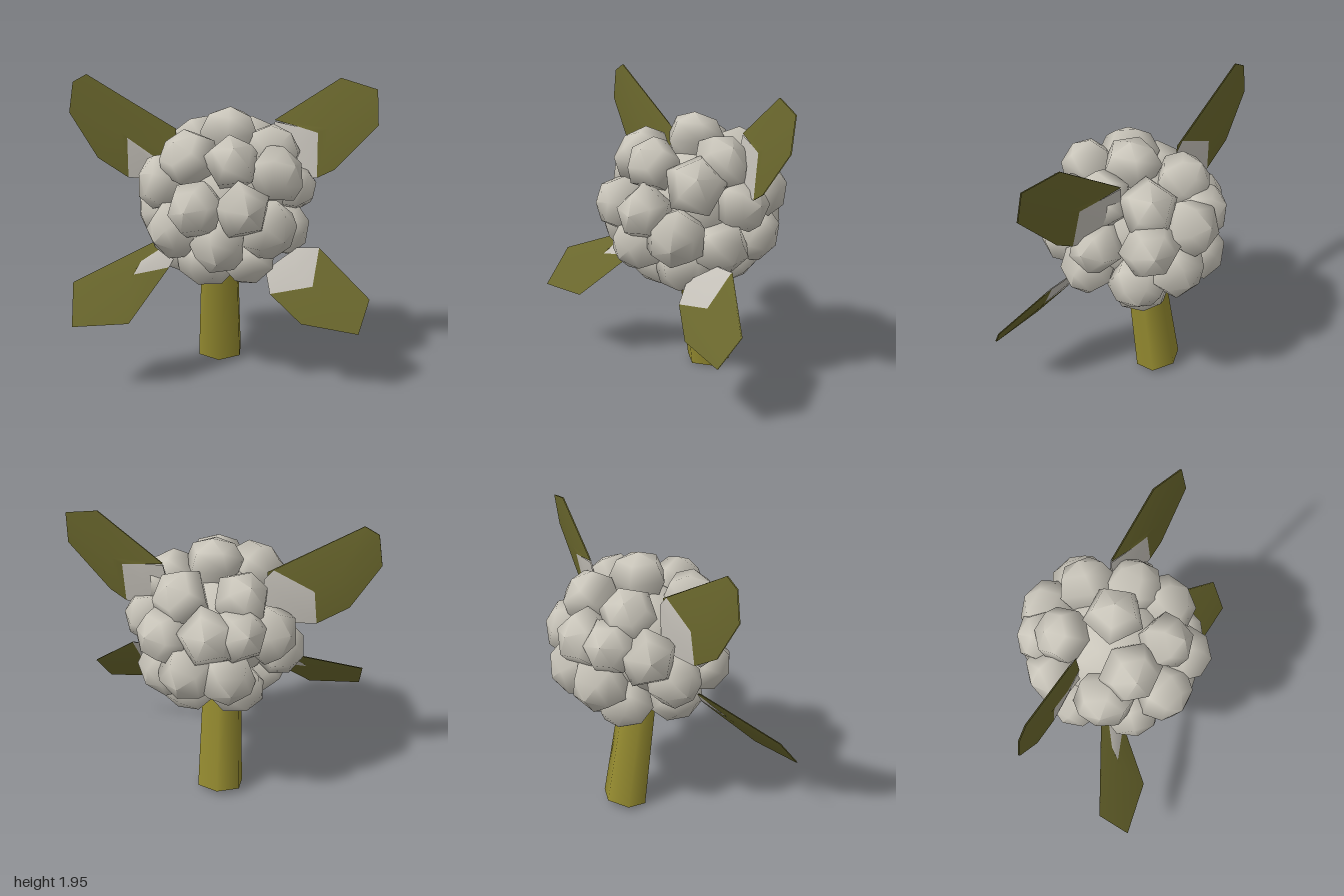
import * as THREE from 'three';

const mat = (name, color, side = THREE.FrontSide) => {
  const m = new THREE.MeshStandardMaterial({ color, side });
  m.name = name;
  return m;
};

// One side of a leaf: a fan over an outline on the plane z = a + bx + cy.
// Outline points are [x, y, half thickness]; side is 1 for the front, -1 for the back.
function leafFace(outline, [a, b, c], side) {
  const plane = (x, y) => a + b * x + c * y;
  const n = outline.length;
  const cx = outline.reduce((s, p) => s + p[0], 0) / n;
  const cy = outline.reduce((s, p) => s + p[1], 0) / n;
  const pos = [cx, cy, plane(cx, cy) + side * 0.024];
  outline.forEach(([x, y, t = 0.004]) => pos.push(x, y, plane(x, y) + side * t));
  const area = outline.reduce((s, p, i) => {
    const q = outline[(i + 1) % n];
    return s + p[0] * q[1] - q[0] * p[1];
  }, 0);
  const index = [];
  for (let i = 0; i < n; i++) {
    const p = i + 1, q = ((i + 1) % n) + 1;
    if (area * side > 0) index.push(0, p, q);
    else index.push(0, q, p);
  }
  const g = new THREE.BufferGeometry();
  g.setAttribute('position', new THREE.Float32BufferAttribute(pos, 3));
  g.setIndex(index);
  g.computeVertexNormals();
  return g;
}

export function createModel() {
  const root = new THREE.Group();
  root.name = 'budCluster';
  const pale = mat('paleGrey', 0xc9c5ba);
  const paleBase = mat('paleLeafBase', 0xc5c1b9, THREE.DoubleSide);
  const green = mat('leafOlive', 0x6a672d, THREE.DoubleSide);
  const gold = mat('stemOlive', 0x958b30);
  const up = new THREE.Vector3(0, 1, 0);
  const add = (parent, name, geo, material) => {
    const m = new THREE.Mesh(geo, material);
    m.name = name;
    parent.add(m);
    return m;
  };

  // Leaning six-sided stem, wider at its foot
  const foot = new THREE.Vector3(-0.02, 0.025, -0.18);
  const top = new THREE.Vector3(-0.01, 1.2, 0.01);
  const axis = top.clone().sub(foot);
  const stem = add(root, 'stem', new THREE.CylinderGeometry(0.105, 0.142, axis.length(), 6), gold);
  stem.position.copy(foot).add(top).multiplyScalar(0.5);
  stem.quaternion.setFromUnitVectors(up, axis.normalize());
  stem.scale.x = 1.14;

  // Ball of plump buds around a hidden core, a little deeper than wide
  const ball = new THREE.Group();
  ball.name = 'buds';
  ball.position.set(0.03, 1.17, 0);
  root.add(ball);
  add(ball, 'core', new THREE.IcosahedronGeometry(0.38, 2), pale);
  const profile = [[0, -0.22], [0.12, -0.16], [0.195, 0], [0.14, 0.115], [0, 0.165]]
    .map(([x, y]) => new THREE.Vector2(x, y));
  const budShapes = [5, 6].map((sides) => new THREE.LatheGeometry(profile, sides));
  const reach = new THREE.Vector3(0.435, 0.43, 0.48);
  const budSpots = [
    // crown
    [0.02, 0.42, 0], [-0.21, 0.29, 0.2], [0.05, 0.29, 0.29], [0.32, 0.33, 0],
    [0.19, 0.33, -0.26], [-0.2, 0.33, -0.23],
    // upper ring
    [0.32, 0.2, 0.2], [-0.16, 0.03, 0.4], [0.13, 0.03, 0.43], [-0.38, 0.13, 0.12],
    [0.43, 0.06, -0.06], [0.29, 0.1, -0.36], [-0.02, 0.15, -0.42], [-0.22, 0.16, -0.38],
    [-0.39, 0.09, -0.22],
    // lower ring
    [-0.35, -0.17, 0.3], [-0.02, -0.22, 0.39], [0.3, -0.13, 0.33], [0.4, -0.22, 0.05],
    [0.3, -0.21, -0.27], [0.12, -0.13, -0.44], [-0.43, -0.12, -0.05], [-0.14, -0.15, -0.41],
    // underside
    [-0.13, -0.42, 0.2], [0.17, -0.41, 0.2], [0.17, -0.4, -0.2], [-0.19, -0.32, -0.26],
    [-0.3, -0.35, 0.07],
  ];
  budSpots.forEach((p, i) => {
    const dir = new THREE.Vector3(...p).normalize();
    const bud = add(ball, 'bud', budShapes[i % 2], pale);
    bud.position.copy(dir).multiply(reach);
    bud.quaternion.setFromUnitVectors(up, dir)
      .multiply(new THREE.Quaternion().setFromAxisAngle(up, i * 1.7));
    const s = 1 + 0.05 * Math.sin(i * 2.3);
    bud.scale.set(s, 1, s);
  });

  // Four leaves with pale bases: outlines in x and y, each on its own tilted plane
  const T = 0.022;
  const leaves = [
    { name: 'upperRightLeaf', plane: [-0.085, 0, 0],
      blade: [[-0.3, 1.6], [-0.88, 1.95], [-0.97, 1.9], [-1, 1.7], [-0.82, 1.4], [-0.62, 1.27], [-0.62, 1.54, T], [-0.45, 1.42, T], [-0.3, 1.42, T]],
      base: [[-0.62, 1.54, T], [-0.62, 1.27], [-0.3, 1.25], [-0.3, 1.42, T], [-0.45, 1.42, T]],
      backBlade: [[-0.34, 1.62], [-0.88, 1.95], [-0.97, 1.9], [-1, 1.7], [-0.82, 1.4], [-0.62, 1.27], [-0.6, 1.5, T]],
      backBase: [[-0.34, 1.62], [-0.6, 1.5, T], [-0.62, 1.27], [-0.3, 1.25], [-0.28, 1.55]] },
    { name: 'upperLeftLeaf', plane: [0.011, 0.3, -0.17],
      blade: [[0.34, 1.65], [0.76, 1.94], [0.99, 1.88], [1, 1.66], [0.73, 1.36], [0.62, 1.3], [0.62, 1.59, T], [0.5, 1.62, T]],
      base: [[0.34, 1.64], [0.5, 1.62, T], [0.62, 1.59, T], [0.62, 1.3], [0.45, 1.29], [0.3, 1.4]] },
    { name: 'lowerRightLeaf', plane: [0.85, -0.12, -0.84],
      blade: [[-0.42, 0.9], [-0.92, 0.69], [-0.9, 0.46], [-0.55, 0.47], [-0.32, 0.76], [-0.54, 0.73, T], [-0.5, 0.8, T], [-0.35, 0.88]],
      base: [[-0.54, 0.73, T], [-0.32, 0.76], [-0.25, 0.88], [-0.35, 0.88], [-0.5, 0.8, T]] },
    { name: 'lowerLeftLeaf', plane: [0.73, 0, -0.65],
      blade: [[0.64, 0.88], [0.96, 0.6], [0.89, 0.41], [0.53, 0.46], [0.33, 0.62], [0.6, 0.67, T]],
      base: [[0.64, 0.88], [0.6, 0.67, T], [0.33, 0.62], [0.3, 0.75], [0.5, 0.88]] },
  ];
  for (const { name, plane, blade, base, backBlade = blade, backBase = base } of leaves) {
    const leaf = new THREE.Group();
    leaf.name = name;
    root.add(leaf);
    add(leaf, 'bladeFront', leafFace(blade, plane, 1), green);
    add(leaf, 'bladeBack', leafFace(backBlade, plane, -1), green);
    add(leaf, 'baseFront', leafFace(base, plane, 1), paleBase);
    add(leaf, 'baseBack', leafFace(backBase, plane, -1), paleBase);
  }
  return root;
}
